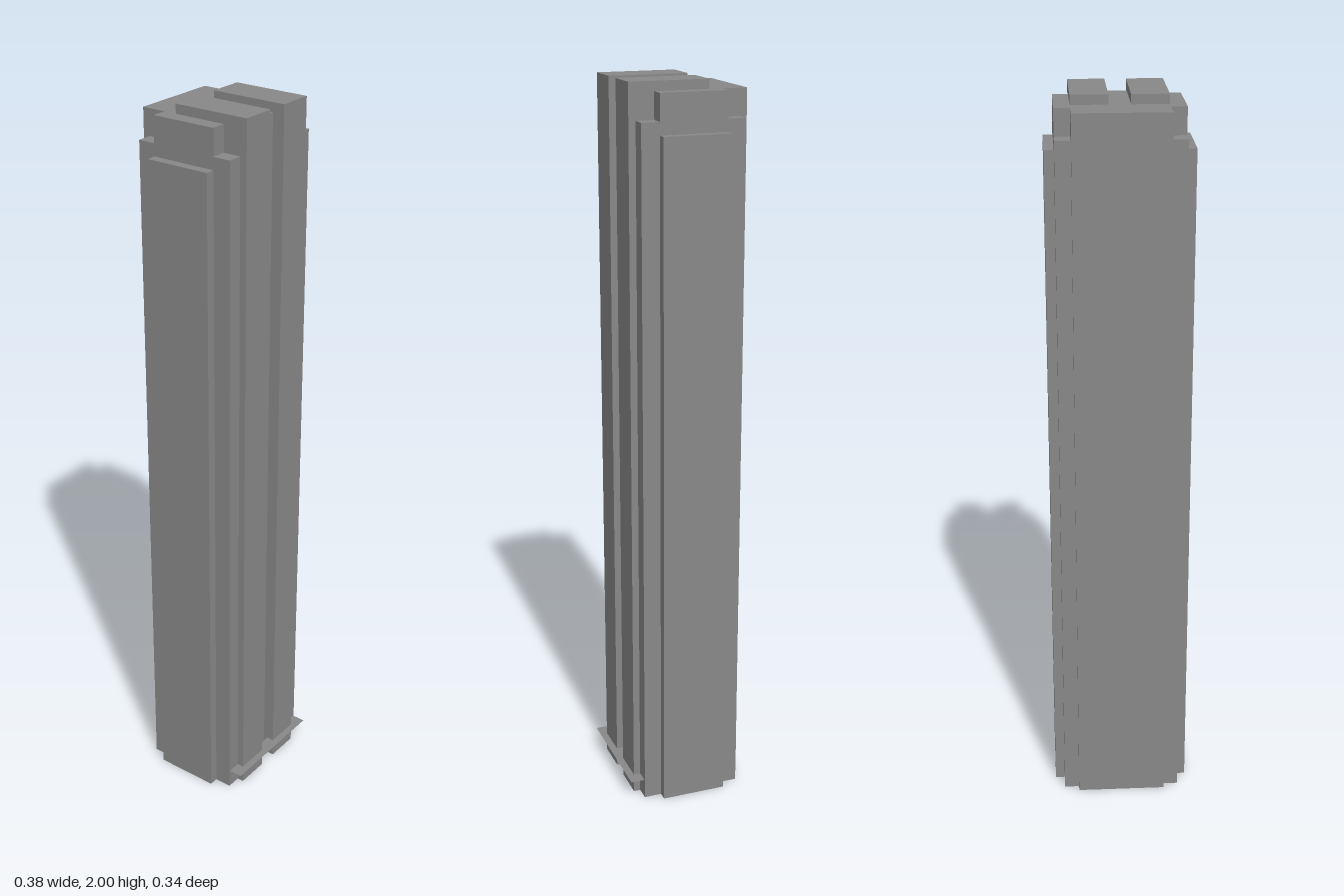
import * as THREE from 'three';

const material = new THREE.MeshStandardMaterial({ color: 0x888888, flatShading: true, side: THREE.DoubleSide });

// Mirrors a right-half [x, z] path (front to back) into a closed outline.
const mirrored = (half) => [...half, ...half.map(([x, z]) => [-x, z]).reverse()];
const rect = (x0, x1, z0, z1) => [[x0, z1], [x1, z1], [x1, z0], [x0, z0]];

function addMesh(group, name, geometry) {
  const mesh = new THREE.Mesh(geometry, material);
  mesh.name = name;
  group.add(mesh);
}

// Open vertical shell following an outline.
function walls(outline, y0, y1) {
  const p = [];
  outline.forEach(([ax, az], i) => {
    const [bx, bz] = outline[(i + 1) % outline.length];
    p.push(ax, y0, az, bx, y0, bz, bx, y1, bz, ax, y0, az, bx, y1, bz, ax, y1, az);
  });
  const geometry = new THREE.BufferGeometry();
  geometry.setAttribute('position', new THREE.Float32BufferAttribute(p, 3));
  geometry.computeVertexNormals();
  return geometry;
}

// Flat horizontal surface facing up.
function cap(outline, y) {
  const shape = new THREE.Shape(outline.map(([x, z]) => new THREE.Vector2(x, -z)));
  return new THREE.ShapeGeometry(shape).rotateX(-Math.PI / 2).translate(0, y, 0);
}

export function createModel() {
  const tower = new THREE.Group();
  tower.name = 'tower';

  const wingTop = 1.872, cornerTop = 1.905, coreTop = 1.975, columnTop = 2;
  const columnFront = [[0.028, 0.115], [0.028, 0.148], [0.124, 0.148]];
  const corner = [[0.124, 0.129], [0.165, 0.129]];
  const wing = [[0.165, 0.08], [0.191, 0.08], [0.191, -0.102], [0.165, -0.102]];
  const backCorner = [[0.165, -0.15], [0.124, -0.15]];
  const back = [[0.124, -0.169]];

  // Shaft, losing its wings and then its corners towards the top
  addMesh(tower, 'lowerShaft', walls(mirrored([...columnFront, ...corner, ...wing, ...backCorner, ...back]), 0, wingTop));
  addMesh(tower, 'middleShaft', walls(mirrored([...columnFront, ...corner, ...backCorner, ...back]), wingTop, cornerTop));
  addMesh(tower, 'upperShaft', walls(mirrored([...columnFront, [0.124, 0.08], [0.165, 0.08],
    [0.165, -0.102], [0.124, -0.102], ...back]), cornerTop, coreTop));

  // Main roof, notched around the two front columns
  addMesh(tower, 'mainRoof', cap(mirrored([[0.028, 0.115], [0.028, -0.066], [0.124, -0.066], [0.124, 0.08],
    [0.165, 0.08], [0.165, -0.102], [0.124, -0.102], ...back]), coreTop));

  for (const side of [1, -1]) {
    const block = (x0, x1, z0, z1) => rect(Math.min(x0 * side, x1 * side), Math.max(x0 * side, x1 * side), z0, z1);
    // Setback ledges
    addMesh(tower, 'wingRoof', cap(block(0.165, 0.191, -0.102, 0.08), wingTop));
    addMesh(tower, 'frontCornerRoof', cap(block(0.124, 0.165, 0.08, 0.129), cornerTop));
    addMesh(tower, 'backCornerRoof', cap(block(0.124, 0.165, -0.15, -0.102), cornerTop));
    // Raised column heads
    const head = block(0.028, 0.124, -0.066, 0.148);
    addMesh(tower, 'columnHead', walls(head, coreTop, columnTop));
    addMesh(tower, 'columnRoof', cap(head, columnTop));
  }

  // Thin entrance canopy
  addMesh(tower, 'canopy', cap(rect(-0.162, 0.162, 0.127, 0.168), 0.055));
  return tower;
}
